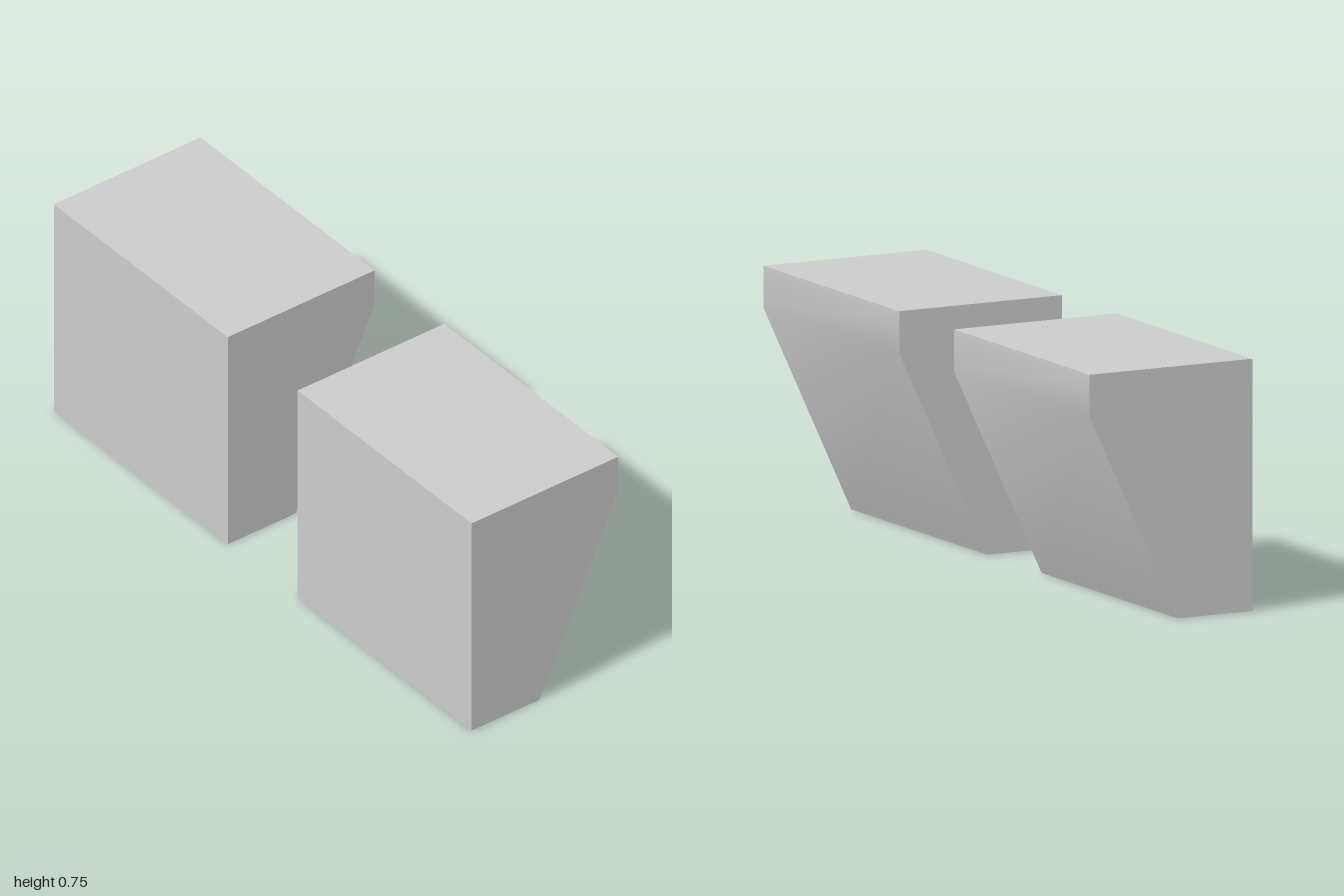
import * as THREE from 'three';
import { toCreasedNormals } from 'three/addons/utils/BufferGeometryUtils.js';

const WIDTH = 0.833;
const HEIGHT = 0.75;
const HALF_DEPTH = 0.271;

// Side profile (z, y): upright front, short upright lip at the back, sloping underside
function blockGeometry() {
  const profile = new THREE.Shape([
    [HALF_DEPTH, 0],
    [HALF_DEPTH, HEIGHT],
    [-HALF_DEPTH, HEIGHT],
    [-HALF_DEPTH, 0.625],
    [0.021, 0],
  ].map(([z, y]) => new THREE.Vector2(z, y)));

  const geometry = new THREE.ExtrudeGeometry(profile, { depth: WIDTH, bevelEnabled: false });
  geometry.translate(0, 0, -WIDTH / 2);
  geometry.rotateY(-Math.PI / 2);
  // Soft shading between lip and slope only; every other edge stays sharp
  return toCreasedNormals(geometry, THREE.MathUtils.degToRad(30));
}

export function createModel() {
  const model = new THREE.Group();
  model.name = 'taperedBlockPair';
  const material = new THREE.MeshStandardMaterial({ color: 0xcccccc });
  const geometry = blockGeometry();

  // Two matching blocks with a gap between them
  for (const [name, side] of [['leftBlock', 1], ['rightBlock', -1]]) {
    const block = new THREE.Mesh(geometry, material);
    block.name = name;
    block.position.x = side * (1 - WIDTH / 2);
    model.add(block);
  }
  return model;
}
